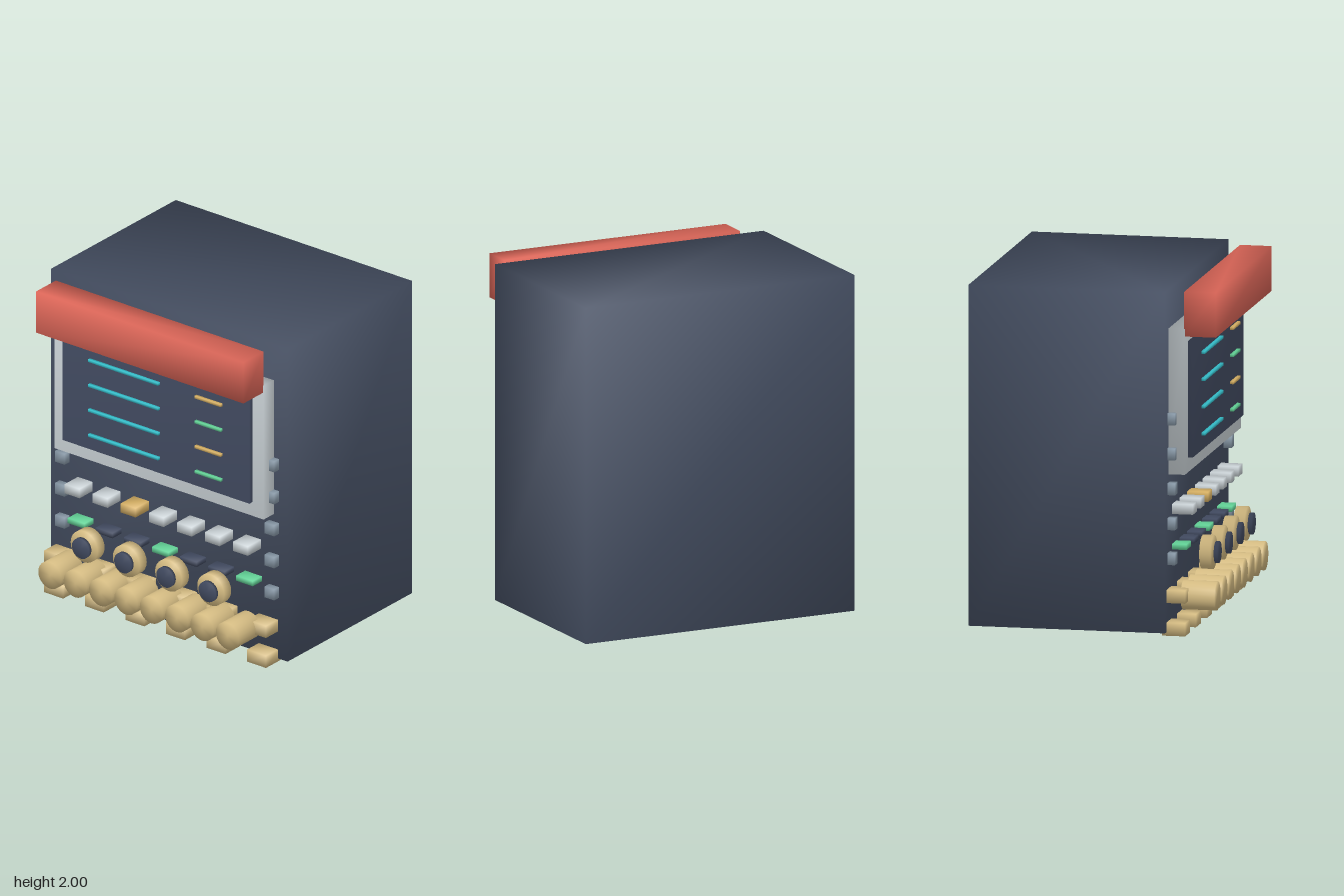
import * as THREE from 'three';
import { mergeVertices } from 'three/addons/utils/BufferGeometryUtils.js';

const paint = (name, color) => {
  const m = new THREE.MeshStandardMaterial({ color });
  m.name = name;
  return m;
};

// Weld all corners so the shading rolls softly over every edge
function soften(geometry) {
  geometry.deleteAttribute('normal');
  geometry.deleteAttribute('uv');
  const g = mergeVertices(geometry, 1e-4);
  g.computeVertexNormals();
  return g;
}

export function createModel() {
  const model = new THREE.Group();
  model.name = 'arcadeConsole';

  const navy = paint('navy', 0x465064);
  const red = paint('coralRed', 0xdc6658);
  const silver = paint('silver', 0xc8d0d4);
  const steel = paint('steelBlue', 0x8697a6);
  const brass = paint('brass', 0xd4bb82);
  const amber = paint('amber', 0xd6b064);
  const cyan = paint('cyan', 0x35bfcb);
  const green = paint('mint', 0x62d196);
  const ink = paint('ink', 0x414a60);

  // Box given by its limits on each axis
  function box(name, material, [x0, x1], [y0, y1], [z0, z1]) {
    const mesh = new THREE.Mesh(soften(new THREE.BoxGeometry(x1 - x0, y1 - y0, z1 - z0)), material);
    mesh.position.set((x0 + x1) / 2, (y0 + y1) / 2, (z0 + z1) / 2);
    mesh.name = name;
    model.add(mesh);
  }
  const around = (c, size) => [c - size / 2, c + size / 2];

  // Round part whose axis points to the front
  function disc(name, material, x, y, radius, [z0, z1]) {
    const g = new THREE.CylinderGeometry(radius, radius, z1 - z0, 24).rotateX(Math.PI / 2);
    const mesh = new THREE.Mesh(soften(g), material);
    mesh.position.set(x, y, (z0 + z1) / 2);
    mesh.name = name;
    model.add(mesh);
  }

  // Cabinet, screen and hood
  box('cabinet', navy, [-0.86, 0.86], [0.02, 2], [-0.71, 0.44]);
  box('screenBezel', silver, [-0.76, 0.76], [0.927, 1.775], [0.43, 0.535]);
  box('screen', ink, [-0.68, 0.68], [1.015, 1.69], [0.53, 0.565]);
  box('hood', red, [-0.755, 0.755], [1.73, 1.99], [0.53, 0.715]);

  // Readout lines on the screen
  for (let i = 0; i < 4; i++) {
    const y = around(1.588 - i * 0.158, 0.016);
    box('readoutLine', cyan, [-0.475, 0.035], y, [0.57, 0.59]);
    box('readoutValue', i % 2 ? green : amber, [0.3, 0.49], y, [0.57, 0.59]);
  }

  // Side bolts
  for (let i = 0; i < 5; i++) {
    for (const side of [-1, 1]) {
      box('bolt', steel, around(side * 0.762, 0.07), around(1.252 - i * 0.203, 0.068), [0.42, 0.485]);
    }
  }

  // Row of keys with indicator lamps below
  for (let i = 0; i < 7; i++) {
    const x = (i - 3) * 0.204;
    box('key', i === 2 ? amber : silver, around(x, 0.108), around(0.708, 0.058), [0.43, 0.562]);
    box('indicatorLamp', i % 3 ? ink : green, around(x, 0.122), around(0.49, 0.032), [0.43, 0.525]);
  }

  // Dials with dark caps
  for (let i = 0; i < 4; i++) {
    const x = -0.463 + i * 0.307;
    disc('dial', brass, x, 0.43, 0.098, [0.575, 0.64]);
    disc('dialCap', ink, x, 0.43, 0.063, [0.652, 0.673]);
  }

  // Large push knobs
  for (let i = 0; i < 8; i++) {
    disc('pushKnob', brass, -0.662 + i * 0.1845, 0.213, 0.084, [0.506, 0.704]);
  }

  // Brass blocks behind the knobs and along the base
  for (let i = 0; i < 6; i++) {
    const x = around(-0.755 + i * 0.295, 0.138);
    box('bracketBlock', brass, x, [0.19, 0.265], [0.415, 0.55]);
    box('foot', brass, x, [0, 0.076], [0.415, 0.55]);
  }

  return model;
}
